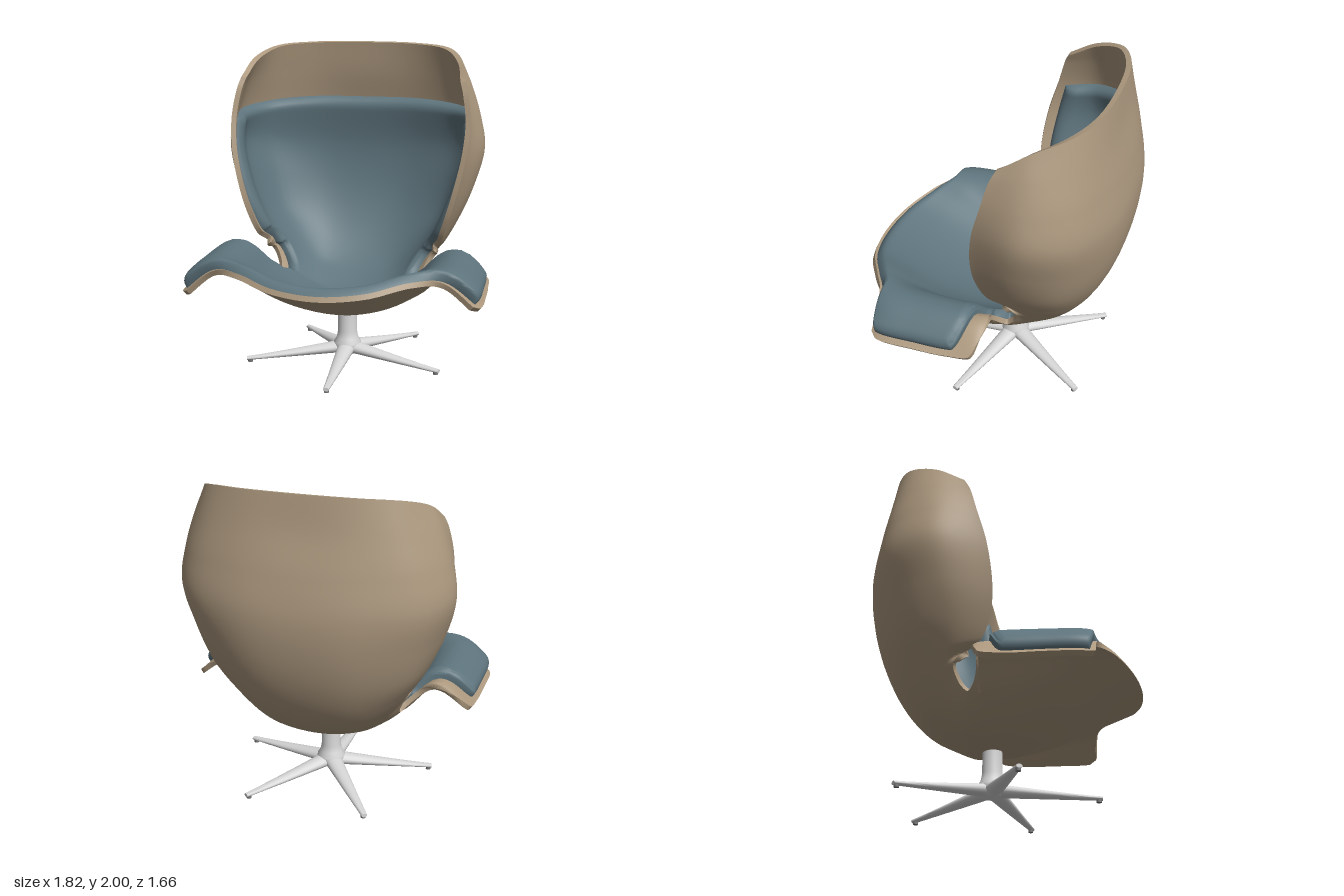
import * as THREE from 'three';
import { toCreasedNormals } from 'three/addons/utils/BufferGeometryUtils.js';

const { clamp, lerp } = THREE.MathUtils;
const mat = (name, color) => {
  const m = new THREE.MeshStandardMaterial({ color });
  m.name = name;
  return m;
};

// Half cross-sections of the shell's outer face: centre (y, z), then four points (x, y, z) to the +x edge
const seatRows = [
  [.64, .83, .28, .66, .785, .52, .705, .66, .68, .685, .555, .86, .54, .535],
  [.545, .60, .28, .575, .58, .52, .65, .52, .70, .69, .47, .885, .54, .47],
  [.41, .30, .28, .455, .30, .51, .56, .29, .70, .69, .28, .89, .54, .27],
  [.335, .05, .28, .39, .05, .51, .525, .06, .70, .69, .05, .885, .54, .06],
  [.32, -.10, .27, .38, -.10, .49, .515, -.105, .68, .69, -.11, .87, .565, -.105],
  [.323, -.15, .26, .375, -.145, .46, .50, -.14, .63, .66, -.135, .80, .64, -.13],
  [.335, -.21, .24, .37, -.205, .40, .46, -.195, .55, .59, -.185, .69, .68, -.175],
];
const backRows = [
  [.38, -.33, .24, .415, -.315, .395, .50, -.29, .53, .65, -.26, .62, .73, -.215],
  [.47, -.48, .26, .50, -.46, .43, .59, -.40, .535, .68, -.30, .56, .735, -.20],
  [.62, -.62, .30, .65, -.59, .51, .72, -.47, .60, .77, -.28, .595, .80, -.10],
  [.82, -.73, .34, .84, -.69, .60, .88, -.53, .685, .92, -.29, .64, .93, -.045],
  [1.05, -.80, .36, 1.07, -.76, .66, 1.10, -.59, .77, 1.12, -.33, .69, 1.10, -.03],
  [1.30, -.825, .38, 1.32, -.785, .70, 1.34, -.63, .83, 1.36, -.38, .745, 1.35, -.06],
  [1.55, -.79, .38, 1.56, -.75, .67, 1.56, -.62, .80, 1.56, -.39, .76, 1.55, -.115],
  [1.80, -.73, .36, 1.79, -.705, .61, 1.77, -.60, .735, 1.76, -.40, .735, 1.73, -.165],
  [2.00, -.70, .36, 1.995, -.665, .57, 1.975, -.56, .675, 1.91, -.38, .715, 1.80, -.20],
];
const rowCurves = [...seatRows, ...backRows].map(r => {
  const half = [2, 5, 8, 11].map(i => new THREE.Vector3(r[i], r[i + 1], r[i + 2]));
  const mirrored = half.map(p => new THREE.Vector3(-p.x, p.y, p.z)).reverse();
  return new THREE.CatmullRomCurve3([...mirrored, new THREE.Vector3(0, r[0], r[1]), ...half]);
});
const LAST = rowCurves.length - 1;

// Point of the outer face: u runs across (-1..1), v runs from the front lip to the top
function surface(u, v) {
  const t = (u + 1) / 2;
  return new THREE.CatmullRomCurve3(rowCurves.map(c => c.getPoint(t))).getPoint(v / LAST);
}

// Surface point moved inward by each of the given depths
function offsetPoints(u, v, depths) {
  const e = .02, f = .12;
  const du = surface(clamp(u + e, -1, 1), v).sub(surface(clamp(u - e, -1, 1), v));
  const dv = surface(u, clamp(v + f, 0, LAST)).sub(surface(u, clamp(v - f, 0, LAST)));
  const n = du.cross(dv).normalize(), p = surface(u, v);
  return depths.map(d => p.clone().addScaledVector(n, d));
}

// Side outlines as (v, u) pairs: wide arms, notch, then the back
const shellOutline = [[0, .97], [.6, 1], [4, 1], [4.5, .68], [5.2, .61], [6, .63], [6.6, .67], [7.2, .76], [8, 1], [LAST, 1]];
const padOutline = [[0, .96], [3.3, .96], [3.7, .62], [4.5, .55], [6, .56], [6.8, .61], [7.5, .72], [8.4, .95], [LAST, .96]];
function lookup(table, v) {
  v = clamp(v, 0, LAST);
  const i = Math.max(1, table.findIndex(([x]) => x >= v));
  const [a, b] = [table[i - 1], table[i]];
  return lerp(a[1], b[1], (v - a[0]) / (b[0] - a[0]));
}
const outline = (table, v) => (lookup(table, v - .12) + lookup(table, v) + lookup(table, v + .12)) / 3;

// Closed slab from a grid of [lower, upper] point pairs
function slab(nu, nv, pairAt, crease) {
  const index = [], lower = [], upper = [];
  const w = nu + 1, count = w * (nv + 1);
  for (let j = 0; j <= nv; j++) for (let i = 0; i <= nu; i++) {
    const [a, b] = pairAt(i / nu, j / nv);
    lower.push(a.x, a.y, a.z);
    upper.push(b.x, b.y, b.z);
  }
  const quad = (a, b, c, d) => index.push(a, b, c, a, c, d);
  for (let j = 0; j < nv; j++) {
    for (let i = 0; i < nu; i++) {
      const k = j * w + i;
      quad(count + k, count + k + 1, count + k + w + 1, count + k + w);
      quad(k, k + w, k + w + 1, k + 1);
    }
    const l = j * w, r = l + nu;
    quad(l, count + l, count + l + w, l + w);
    quad(r, r + w, count + r + w, count + r);
  }
  for (let i = 0; i < nu; i++) {
    const t = nv * w + i;
    quad(i, i + 1, count + i + 1, count + i);
    quad(t, count + t, count + t + 1, t + 1);
  }
  const g = new THREE.BufferGeometry();
  g.setAttribute('position', new THREE.Float32BufferAttribute(lower.concat(upper), 3));
  g.setIndex(index);
  return toCreasedNormals(g, crease);
}

const SHELL = .032, PAD = .06;
const spread = k => Math.sin((k - .5) * Math.PI);

function shellGeometry() {
  return slab(56, 180, (a, b) => {
    const v = b * LAST;
    return offsetPoints(spread(a) * outline(shellOutline, v), v, [0, SHELL]);
  }, .8);
}

// Rough distance from a pad point to the side outline
function sideDistance(u, v) {
  let d = 1;
  for (let k = -5; k <= 5; k++) {
    const step = k * .09;
    d = Math.min(d, Math.hypot(Math.max(0, outline(padOutline, v + step) - Math.abs(u)), step * .17));
  }
  return d;
}

function cushionGeometry() {
  // Rounded shoulder toward every edge
  const round = (d, r) => d >= r ? 1 : Math.sqrt(Math.max(0, 1 - (1 - d / r) ** 2));
  return slab(64, 200, (a, b) => {
    const s = spread(a);
    const v0 = .07 + .45 * s ** 4, v1 = 13.34 - .35 * s * s;
    const v = lerp(v0, v1, b);
    const u = s * outline(padOutline, v);
    const h = round(sideDistance(u, v), .065) * round(b * 2.6, .05) * round((1 - b) * 2.6, .06);
    return offsetPoints(u, v, [SHELL - .008, SHELL + PAD * h]);
  }, 1.1);
}

// Tapered leg along +z, deep at the hub and slim at the tip
function legGeometry() {
  const g = new THREE.CylinderGeometry(1, 1, 1, 16, 8);
  g.rotateX(Math.PI / 2);
  const p = g.attributes.position;
  for (let i = 0; i < p.count; i++) {
    const t = p.getZ(i) + .5;
    const width = lerp(.06, .018, t);
    const top = .036 + .094 * (1 - t) ** 1.15, bottom = .012 + .035 * (1 - t);
    p.setXYZ(i, p.getX(i) * width, (top + bottom) / 2 + p.getY(i) * (top - bottom) / 2, t * .65);
  }
  return toCreasedNormals(g, .8);
}

export function createModel() {
  const model = new THREE.Group();
  model.name = 'loungeChair';
  const shellMat = mat('tan shell', 0xad997f);
  const cushionMat = mat('blue grey fabric', 0x5e747d);
  const metalMat = mat('light metal', 0xd6d6d6);
  const footMat = mat('grey glide', 0x777777);
  const add = (parent, name, geometry, material) => {
    const m = new THREE.Mesh(geometry, material);
    m.name = name;
    parent.add(m);
    return m;
  };

  add(model, 'shell', shellGeometry(), shellMat);
  add(model, 'cushion', cushionGeometry(), cushionMat);

  // Swivel base with five legs
  const base = new THREE.Group();
  base.name = 'base';
  base.position.z = -.085;
  model.add(base);
  const profile = [[0, .045], [.06, .045], [.09, .08], [.088, .115], [.07, .145], [.061, .19], [.06, .345], [0, .345]];
  add(base, 'column', toCreasedNormals(
    new THREE.LatheGeometry(profile.map(([x, y]) => new THREE.Vector2(x, y)), 32), .9), metalMat);
  const legGeo = legGeometry();
  const footGeo = new THREE.CylinderGeometry(.015, .015, .022, 16);
  for (let i = 0; i < 5; i++) {
    const leg = new THREE.Group();
    leg.name = 'leg' + (i + 1);
    leg.rotation.y = i * Math.PI * 2 / 5;
    add(leg, 'legArm', legGeo, metalMat);
    add(leg, 'foot', footGeo, footMat).position.set(0, .011, .628);
    base.add(leg);
  }
  return model;
}
